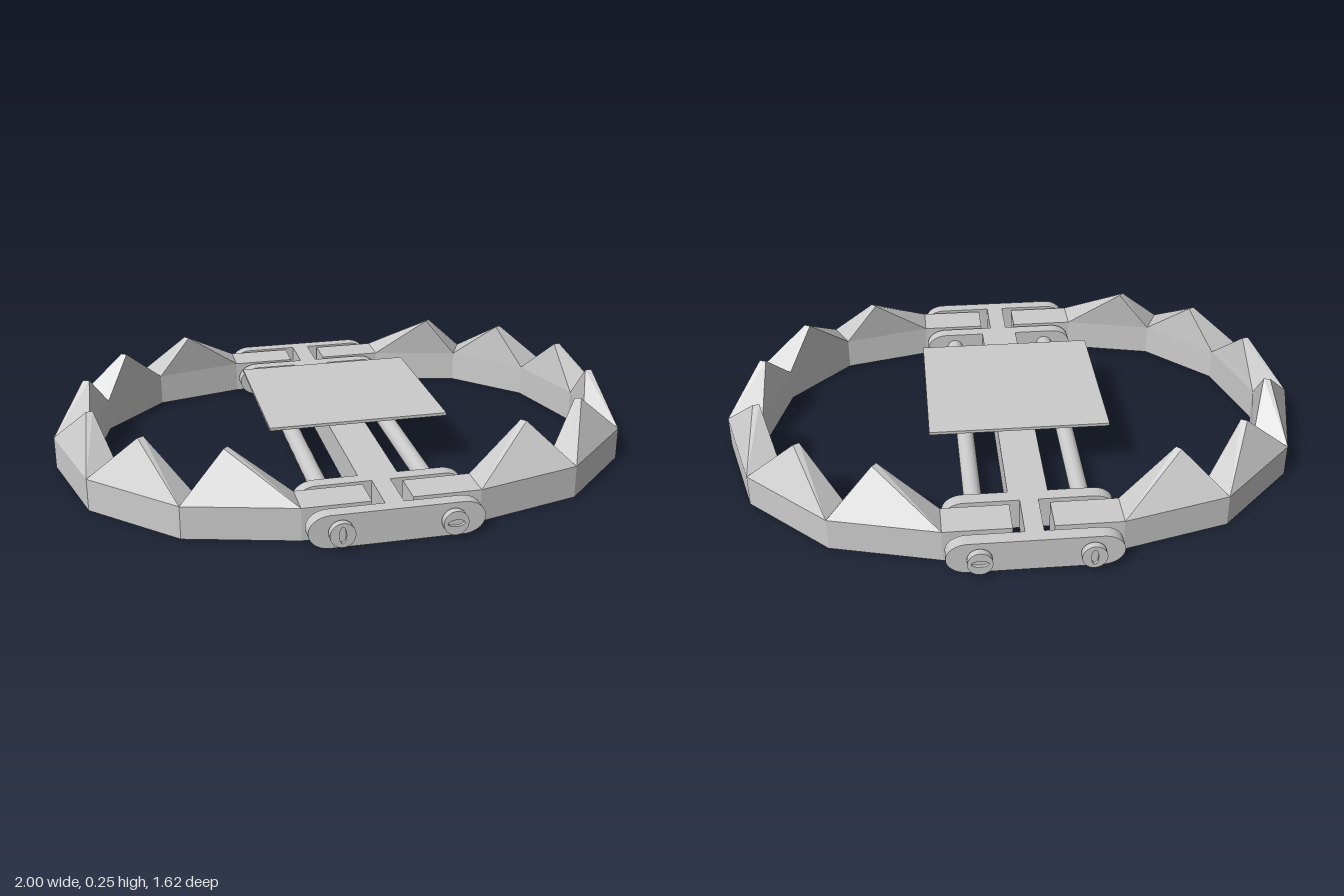
import * as THREE from 'three';
import { ConvexGeometry } from 'three/addons/geometries/ConvexGeometry.js';
import { toCreasedNormals } from 'three/addons/utils/BufferGeometryUtils.js';

const H = 0.11; // height of the frame and jaws

export function createModel() {
  const model = new THREE.Group();
  model.name = 'jawTrap';
  const flat = new THREE.MeshStandardMaterial({ color: 0xcccccc, flatShading: true });
  const smooth = new THREE.MeshStandardMaterial({ color: 0xcccccc });

  const add = (parent, name, geometry, material = flat, x = 0, y = 0, z = 0) => {
    const mesh = new THREE.Mesh(geometry, material);
    mesh.name = name;
    mesh.position.set(x, y, z);
    parent.add(mesh);
    return mesh;
  };
  const extrude = (shape, depth) =>
    new THREE.ExtrudeGeometry(shape, { depth, bevelEnabled: false, curveSegments: 20 });

  // Jaws: half rings of straight segments, ending in arms beside the spine
  const half = [[1, 0], [0.905, 0.36], [0.64, 0.618], [0.285, 0.712]];
  const halfIn = [[0.88, 0], [0.8, 0.3], [0.59, 0.515], [0.285, 0.59]];
  const flip = (list) => list.slice(1).reverse().map(([x, z]) => [x, -z]);
  const outer = [...flip(half), ...half];
  const inner = [...flip(halfIn), ...halfIn];
  const outline = [
    [0.065, -0.712], ...outer, [0.065, 0.712],
    [0.065, 0.59], ...inner.slice().reverse(), [0.065, -0.59],
  ].map(([x, z]) => new THREE.Vector2(x, z));
  const jawGeometry = extrude(new THREE.Shape(outline), H).rotateX(-Math.PI / 2);

  // Teeth: wedges over each segment, leaning to the inside
  const apexes = [[0.865, 0.145], [0.72, 0.39], [0.475, 0.526]];
  const toothGeometry = (i, side) => {
    const [ax, az] = apexes[i];
    const len = Math.hypot(ax, az);
    const points = [half[i], half[i + 1], halfIn[i], halfIn[i + 1]]
      .map(([x, z]) => new THREE.Vector3(x, H, z * side));
    for (const k of [0, 0.022]) {
      const s = 1 + k / len;
      points.push(new THREE.Vector3(ax * s, 0.253, az * s * side));
    }
    return new ConvexGeometry(points);
  };

  for (const [name, turn] of [['leftJaw', 0], ['rightJaw', Math.PI]]) {
    const jaw = new THREE.Group();
    jaw.name = name;
    jaw.rotation.y = turn;
    add(jaw, 'jawBar', jawGeometry);
    for (const side of [-1, 1])
      for (let i = 0; i < 3; i++) add(jaw, 'tooth', toothGeometry(i, side));
    model.add(jaw);
  }

  // Spine, narrower where it passes between the jaw arms
  add(model, 'spine', new THREE.BoxGeometry(0.13, H, 1.1), flat, 0, H / 2);
  for (const side of [-1, 1])
    add(model, 'spineNeck', new THREE.BoxGeometry(0.06, H, 0.22), flat, 0, H / 2, side * 0.65);

  // Hinge plates with rounded ends
  const plate = new THREE.Shape();
  plate.absellipse(0.208, 0, 0.07, H / 2, -Math.PI / 2, Math.PI / 2);
  plate.absellipse(-0.208, 0, 0.07, H / 2, Math.PI / 2, Math.PI * 1.5);
  plate.closePath();
  const plateGeometry = toCreasedNormals(extrude(plate, 0.046).translate(0, H / 2, -0.023), 0.6);
  for (const z of [-0.755, -0.548, 0.548, 0.755])
    add(model, 'hingePlate', plateGeometry, smooth, 0, 0, z);

  // Hinge rods with slotted heads
  const rodGeometry = new THREE.CylinderGeometry(0.03, 0.03, 1.58, 24).rotateX(Math.PI / 2);
  const discGeometry = new THREE.CylinderGeometry(0.04, 0.04, 0.014, 24).rotateX(Math.PI / 2);
  for (const x of [-0.178, 0.174]) {
    const rod = new THREE.Group();
    rod.name = 'hingeRod';
    rod.position.set(x, H / 2 + 0.001, 0);
    add(rod, 'rodShaft', rodGeometry, smooth);
    const ring = new THREE.Shape().absarc(0, 0, 0.04, 0, Math.PI * 2);
    const slot = new THREE.Path();
    slot.absellipse(0, 0, x < 0 ? 0.011 : 0.027, x < 0 ? 0.027 : 0.011, 0, Math.PI * 2);
    ring.holes.push(slot);
    const ringGeometry = toCreasedNormals(extrude(ring, 0.01), 0.6);
    for (const turn of [0, Math.PI]) {
      const head = new THREE.Group();
      head.name = 'rodHead';
      head.rotation.y = turn;
      add(head, 'headDisc', discGeometry, smooth, 0, 0, 0.793);
      add(head, 'slottedRim', ringGeometry, smooth, 0, 0, 0.8);
      rod.add(head);
    }
    model.add(rod);
  }

  // Trigger pan: square plate on a flared underside and a short post
  add(model, 'panPost', new THREE.BoxGeometry(0.13, 0.04, 0.13), flat, 0, 0.125);
  const flare = [];
  for (const [hx, y, hz] of [[0.3, 0.187, 0.283], [0.068, 0.142, 0.065]])
    for (const sx of [-1, 1])
      for (const sz of [-1, 1]) flare.push(new THREE.Vector3(sx * hx, y, sz * hz));
  add(model, 'panFlare', new ConvexGeometry(flare));
  add(model, 'panPlate', new THREE.BoxGeometry(0.606, 0.01, 0.572), flat, 0, 0.191);

  return model;
}
